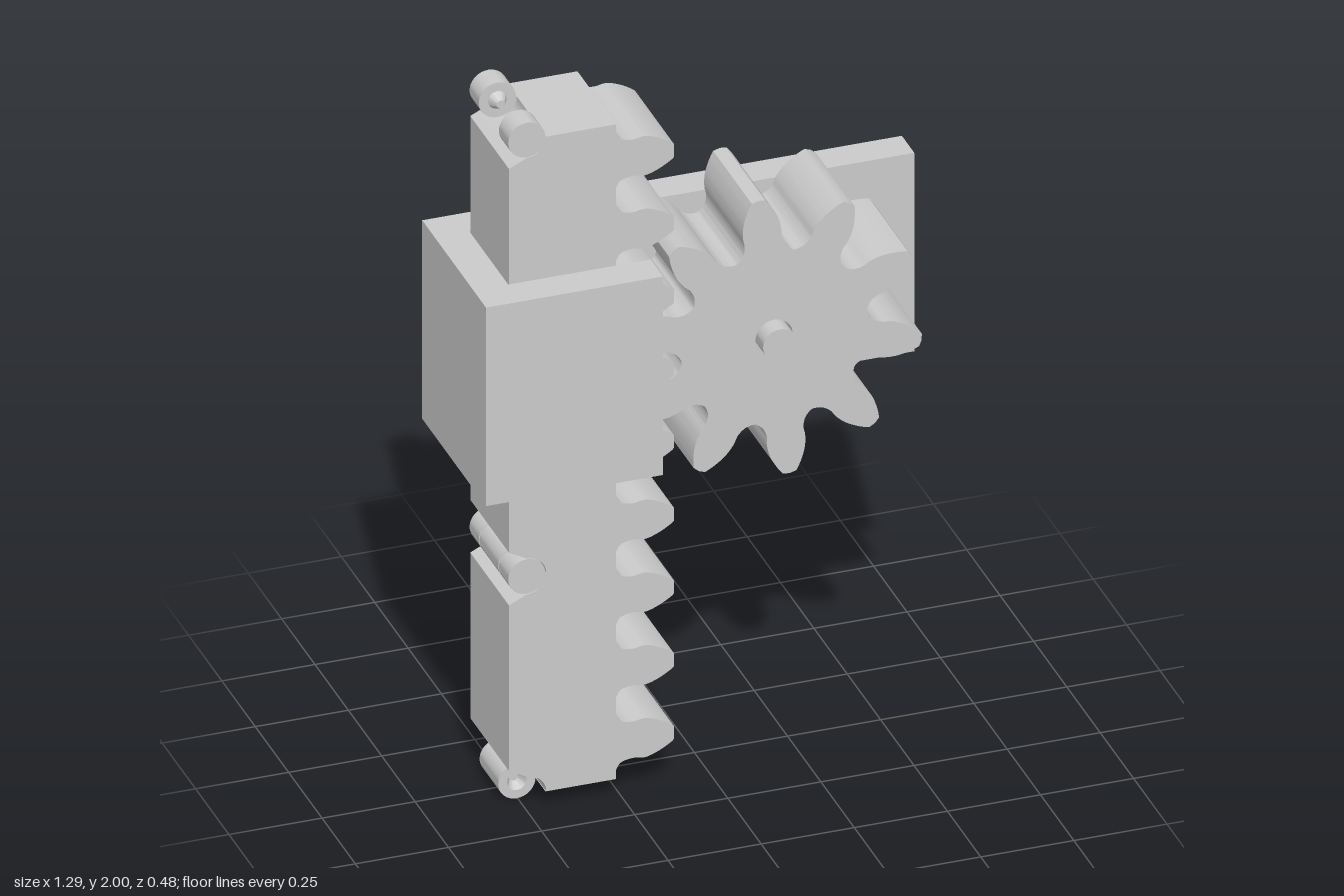
import * as THREE from 'three';
import { toCreasedNormals } from 'three/addons/utils/BufferGeometryUtils.js';

const material = new THREE.MeshStandardMaterial({ color: 0xcccccc });
const HALF = 0.145;          // half thickness of rack and gear
const TOOTH = 0.2111;        // tooth pitch
const LINK = TOOTH * 3;      // one rack link carries three teeth
const HINGE_X = -0.502;
const HINGE_R = 0.05;

function add(parent, name, geometry, x = 0, y = 0, z = 0) {
  const mesh = new THREE.Mesh(geometry, material);
  mesh.name = name;
  mesh.position.set(x, y, z);
  parent.add(mesh);
  return mesh;
}

function box(parent, name, x0, x1, y0, y1, z0, z1) {
  return add(parent, name, new THREE.BoxGeometry(x1 - x0, y1 - y0, z1 - z0),
    (x0 + x1) / 2, (y0 + y1) / 2, (z0 + z1) / 2);
}

// Extrude through the full thickness, centred on z = 0
function slab(shape) {
  const g = new THREE.ExtrudeGeometry(shape, { depth: 2 * HALF, bevelEnabled: false, curveSegments: 24 });
  g.translate(0, 0, -HALF);
  return toCreasedNormals(g, 0.5);
}

// Lathe about the z axis; side = -1 mirrors the profile to the back
function turned(points, side = 1) {
  const g = new THREE.LatheGeometry(points.map(([r, h]) => new THREE.Vector2(r, h)), 32);
  g.rotateX(side * Math.PI / 2);
  return toCreasedNormals(g, 0.5);
}

const smooth = (points) => new THREE.CatmullRomCurve3(
  points.map(([x, y]) => new THREE.Vector3(x, y, 0))).getPoints(points.length * 4);

// Rack link outline: toothed on the right, hinge clearances on the left corners
function linkShape() {
  const outline = [];
  const half = [[-0.262, -0.078], [-0.252, -0.062], [-0.235, -0.055], [-0.215, -0.053],
    [-0.185, -0.057], [-0.15, -0.046], [-0.115, -0.026], [-0.107, -0.019]];
  const flank = smooth(half).map((p) => [p.x, p.y]);
  outline.push([HINGE_X + HINGE_R, 0], [-0.262, 0]);
  for (let i = 0; i < 3; i++) {
    const y = TOOTH * (i + 0.5);
    flank.forEach(([px, py]) => outline.push([px, y + py]));
    [...flank].reverse().forEach(([px, py]) => outline.push([px, y - py]));
  }
  outline.push([-0.262, LINK]);
  const arc = [];
  for (let i = 0; i <= 8; i++) {
    const a = (i / 8) * Math.PI / 2;
    arc.push([HINGE_X + 0.052 * Math.cos(a), 0.052 * Math.sin(a)]);
  }
  arc.forEach(([x, y]) => outline.push([x, LINK - y]));
  outline.push([-0.55, LINK - 0.075], [-0.55, 0.078]);
  arc.reverse().forEach(([x, y]) => outline.push([x, y]));
  return new THREE.Shape(outline.map(([x, y]) => new THREE.Vector2(x, y)));
}

// Ten-toothed pinion outline with a bore
function gearShape() {
  const half = [[0.251, 0.072], [0.262, 0.058], [0.285, 0.05], [0.31, 0.052],
    [0.345, 0.047], [0.38, 0.032], [0.402, 0.018]]; // radius, half width
  const flank = smooth(half).map((p) => [p.x, p.y]);
  const pts = [];
  const polar = (r, a) => pts.push(new THREE.Vector2(r * Math.cos(a), r * Math.sin(a)));
  for (let i = 0; i < 10; i++) {
    const a = THREE.MathUtils.degToRad(24 + 36 * i);
    polar(0.25, a - Math.PI / 10);
    flank.forEach(([r, w]) => polar(r, a - w / r));
    polar(0.405, a);
    [...flank].reverse().forEach(([r, w]) => polar(r, a + w / r));
  }
  const shape = new THREE.Shape(pts);
  shape.holes.push(new THREE.Path().absarc(0, 0, 0.05, 0, Math.PI * 2, true));
  return shape;
}

function rackLink(index) {
  const link = new THREE.Group();
  link.name = `rackLink${index + 1}`;
  add(link, 'toothedBody', slab(linkShape()));

  // Lower middle knuckle, dimpled at both ends
  add(link, 'socketKnuckle', turned([[0, -0.045], [0.012, -0.045], [0.026, -0.07], [HINGE_R, -0.07],
    [HINGE_R, 0.07], [0.026, 0.07], [0.012, 0.045], [0, 0.045]]), HINGE_X, 0, 0);
  box(link, 'socketWeb', HINGE_X + 0.028, -0.44, 0, 0.042, -0.07, 0.07);

  // Upper pair of knuckles with cone points facing each other
  for (const side of [1, -1]) {
    add(link, 'pinKnuckle', turned([[0, 0.05], [0.011, 0.05], [0.025, 0.075], [HINGE_R, 0.075],
      [HINGE_R, HALF], [0, HALF]], side), HINGE_X, LINK, 0);
    const z = side * (0.075 + HALF) / 2;
    box(link, 'pinWeb', HINGE_X + 0.028, -0.44, LINK - 0.042, LINK, z - 0.035, z + 0.035);
  }
  return link;
}

export function createModel() {
  const model = new THREE.Group();
  model.name = 'rackAndPinion';

  // Hinged rack of three links
  const rack = new THREE.Group();
  rack.name = 'rack';
  for (let i = 0; i < 3; i++) {
    const link = rackLink(i);
    link.position.y = 0.05 + i * LINK;
    rack.add(link);
  }
  model.add(rack);

  // Channel-shaped guide: back plate, side wall and front lip in one section
  const section = [[-0.645, 0.238], [-0.17, 0.238], [-0.17, HALF], [-0.552, HALF],
    [-0.552, -0.147], [0.643, -0.147], [0.643, -0.24], [-0.645, -0.24]];
  const guide = new THREE.ExtrudeGeometry(
    new THREE.Shape(section.map(([x, z]) => new THREE.Vector2(x, -z))),
    { depth: 0.576, bevelEnabled: false });
  guide.rotateX(-Math.PI / 2);
  add(model, 'guide', guide, 0, 0.964, 0);

  // Pinion and its axle
  add(model, 'pinion', slab(gearShape()), 0.162, 1.252, 0);
  add(model, 'axle', turned([[0, -0.16], [0.045, -0.16], [0.045, 0.188], [0, 0.188]]), 0.162, 1.252, 0);

  return model;
}
